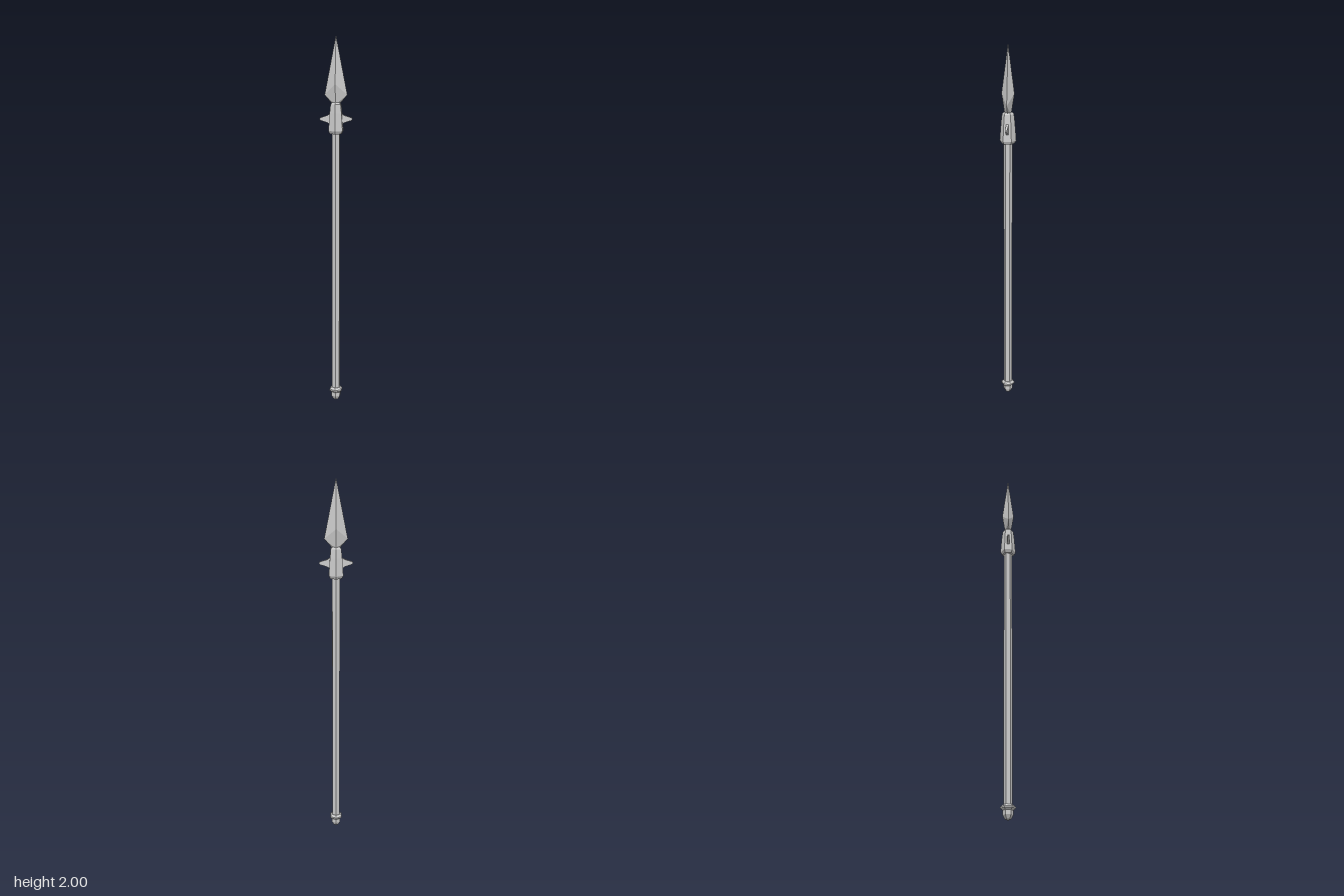
import * as THREE from 'three';

const material = new THREE.MeshStandardMaterial({ color: 0xcccccc, flatShading: true });

function addMesh(parent, name, geometry) {
  const mesh = new THREE.Mesh(geometry, material);
  mesh.name = name;
  parent.add(mesh);
  return mesh;
}

// Six-sided turned part from [radius, height] pairs, listed bottom to top
function hexLathe(profile) {
  const points = profile.map(([r, y]) => new THREE.Vector2(r, y));
  return new THREE.LatheGeometry(points, 6);
}

// Diamond-section blade: a small base, a wide shoulder with raised ridges, and a tip
function bladeGeometry() {
  const tip = [0, 2, 0];
  const positions = [];
  const tri = (a, b, c) => positions.push(...a, ...b, ...c);
  for (const sx of [1, -1]) {
    for (const sz of [1, -1]) {
      const edge = [sx * 0.06, 1.695, 0];
      const ridge = [0, 1.75, sz * 0.033];
      const baseEdge = [sx * 0.017, 1.645, 0];
      const baseRidge = [0, 1.645, sz * 0.017];
      const faces = [
        [edge, tip, ridge],
        [edge, ridge, baseRidge],
        [edge, baseRidge, baseEdge],
        [baseEdge, baseRidge, [0, 1.645, 0]],
      ];
      // Mirrored quarters need the opposite corner order
      for (const [a, b, c] of faces) sx * sz > 0 ? tri(a, b, c) : tri(a, c, b);
    }
  }
  const geometry = new THREE.BufferGeometry();
  geometry.setAttribute('position', new THREE.Float32BufferAttribute(positions, 3));
  geometry.computeVertexNormals();
  return geometry;
}

// Side lug: a flat spike tapering to a blunt end, pointing along +x
function lugGeometry() {
  const shape = new THREE.Shape();
  shape.moveTo(0.02, 1.535);
  shape.lineTo(0.045, 1.551);
  shape.lineTo(0.083, 1.563);
  shape.lineTo(0.088, 1.57);
  shape.lineTo(0.083, 1.577);
  shape.lineTo(0.045, 1.589);
  shape.lineTo(0.02, 1.605);
  const geometry = new THREE.ExtrudeGeometry(shape, { depth: 0.012, bevelEnabled: false });
  geometry.translate(0, 0, -0.006);
  // Thin the spike towards its end
  const p = geometry.attributes.position;
  for (let i = 0; i < p.count; i++) {
    if (p.getX(i) > 0.08) p.setZ(i, p.getZ(i) * 0.7);
  }
  geometry.computeVertexNormals();
  return geometry;
}

export function createModel() {
  const spear = new THREE.Group();
  spear.name = 'spear';

  // Shaft
  const shaft = addMesh(spear, 'shaft', new THREE.CylinderGeometry(0.023, 0.023, 1.46, 6));
  shaft.position.y = 0.78;

  // Butt cap and its flared ring
  addMesh(spear, 'buttCap', hexLathe([[0, 0.004], [0.015, 0.009], [0.027, 0.03], [0.027, 0.052], [0, 0.054]]));
  addMesh(spear, 'buttRing', hexLathe([[0, 0.05], [0.026, 0.052], [0.038, 0.062], [0.038, 0.07], [0.026, 0.08], [0, 0.08]]));

  // Socket holding the blade
  addMesh(spear, 'socket', hexLathe([
    [0, 1.492], [0.034, 1.492], [0.043, 1.508], [0.036, 1.6], [0.031, 1.645], [0.022, 1.655], [0, 1.655],
  ]));

  // Mirrored lugs
  const lug = lugGeometry();
  addMesh(spear, 'leftLug', lug);
  addMesh(spear, 'rightLug', lug).rotation.y = Math.PI;

  // Blade
  addMesh(spear, 'blade', bladeGeometry());

  return spear;
}
